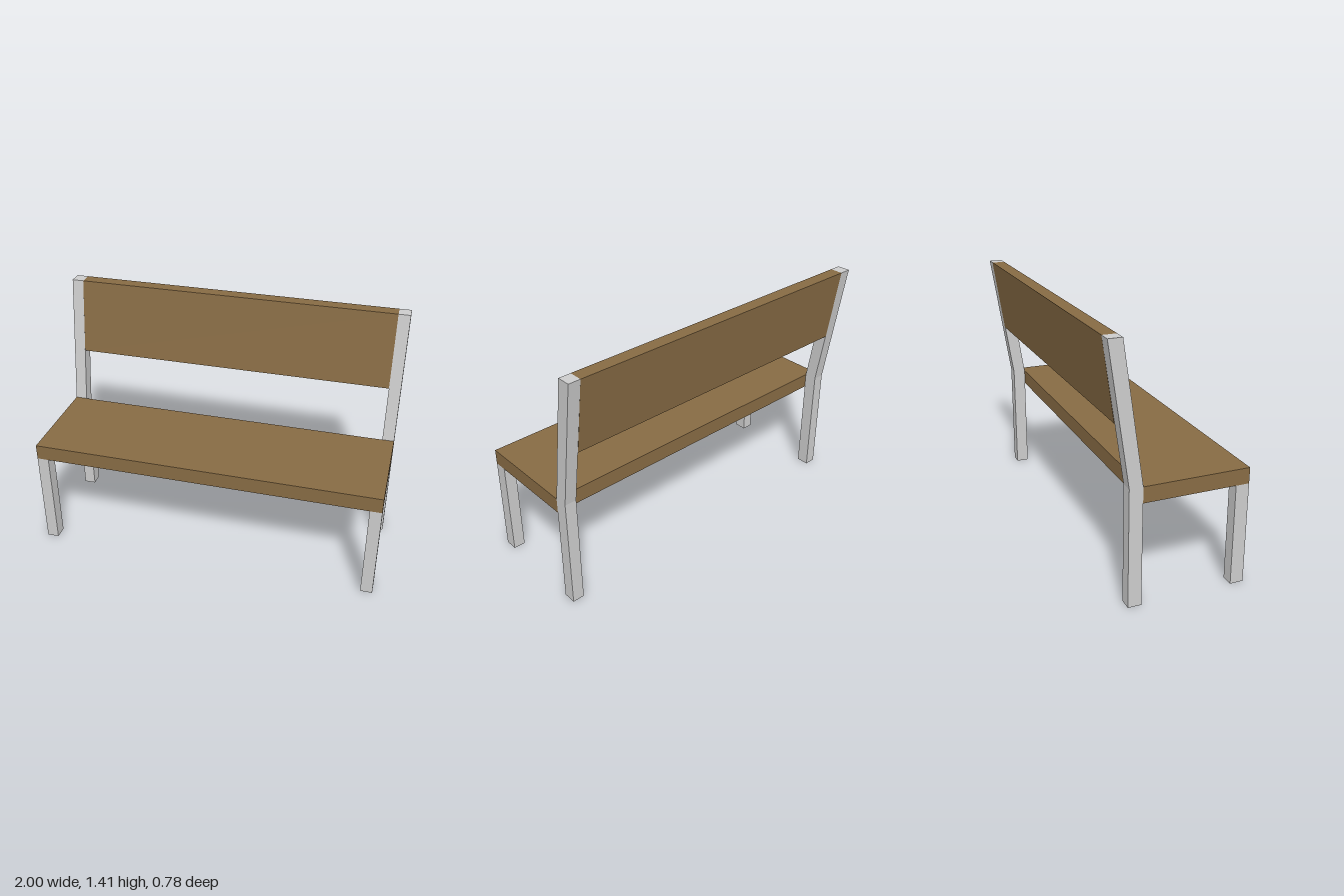
import * as THREE from 'three';

const metal = new THREE.MeshStandardMaterial({ color: 0xcccccc, flatShading: true });
const wood = new THREE.MeshStandardMaterial({ color: 0x876b44, flatShading: true });

const LEG_W = 0.068;

// Box given by its limits on each axis
function block(name, material, [x0, x1], [y0, y1], [z0, z1]) {
  const mesh = new THREE.Mesh(new THREE.BoxGeometry(x1 - x0, y1 - y0, z1 - z0), material);
  mesh.position.set((x0 + x1) / 2, (y0 + y1) / 2, (z0 + z1) / 2);
  mesh.name = name;
  return mesh;
}

// Side outline of [z, y] points, extruded across x from x0 to x1
function sideProfile(name, material, points, x0, x1) {
  const shape = new THREE.Shape(points.map(([z, y]) => new THREE.Vector2(-z, y)));
  const geometry = new THREE.ExtrudeGeometry(shape, { depth: x1 - x0, bevelEnabled: false });
  geometry.rotateY(Math.PI / 2);
  geometry.translate(x0, 0, 0);
  const mesh = new THREE.Mesh(geometry, material);
  mesh.name = name;
  return mesh;
}

export function createModel() {
  const bench = new THREE.Group();
  bench.name = 'bench';

  // Seat slab, ending at the front of the rear posts
  bench.add(block('seat', wood, [-1, 1], [0.57, 0.658], [-0.2, 0.388]));

  // Rear post: upright leg that leans back above the seat
  const post = [
    [-0.2, 0], [-0.274, 0], [-0.274, 0.658], [-0.388, 1.408], [-0.312, 1.408], [-0.2, 0.658],
  ];
  for (const [side, x0] of [['right', -1], ['left', 1 - LEG_W]]) {
    bench.add(block(side + 'FrontLeg', metal, [x0, x0 + LEG_W], [0, 0.57], [0.313, 0.388]));
    bench.add(sideProfile(side + 'RearPost', metal, post, x0, x0 + LEG_W));
  }

  // Backrest panel between the leaning posts
  const panel = [[-0.248, 0.975], [-0.324, 0.975], [-0.388, 1.408], [-0.312, 1.408]];
  bench.add(sideProfile('backrest', wood, panel, -1 + LEG_W, 1 - LEG_W));

  return bench;
}
